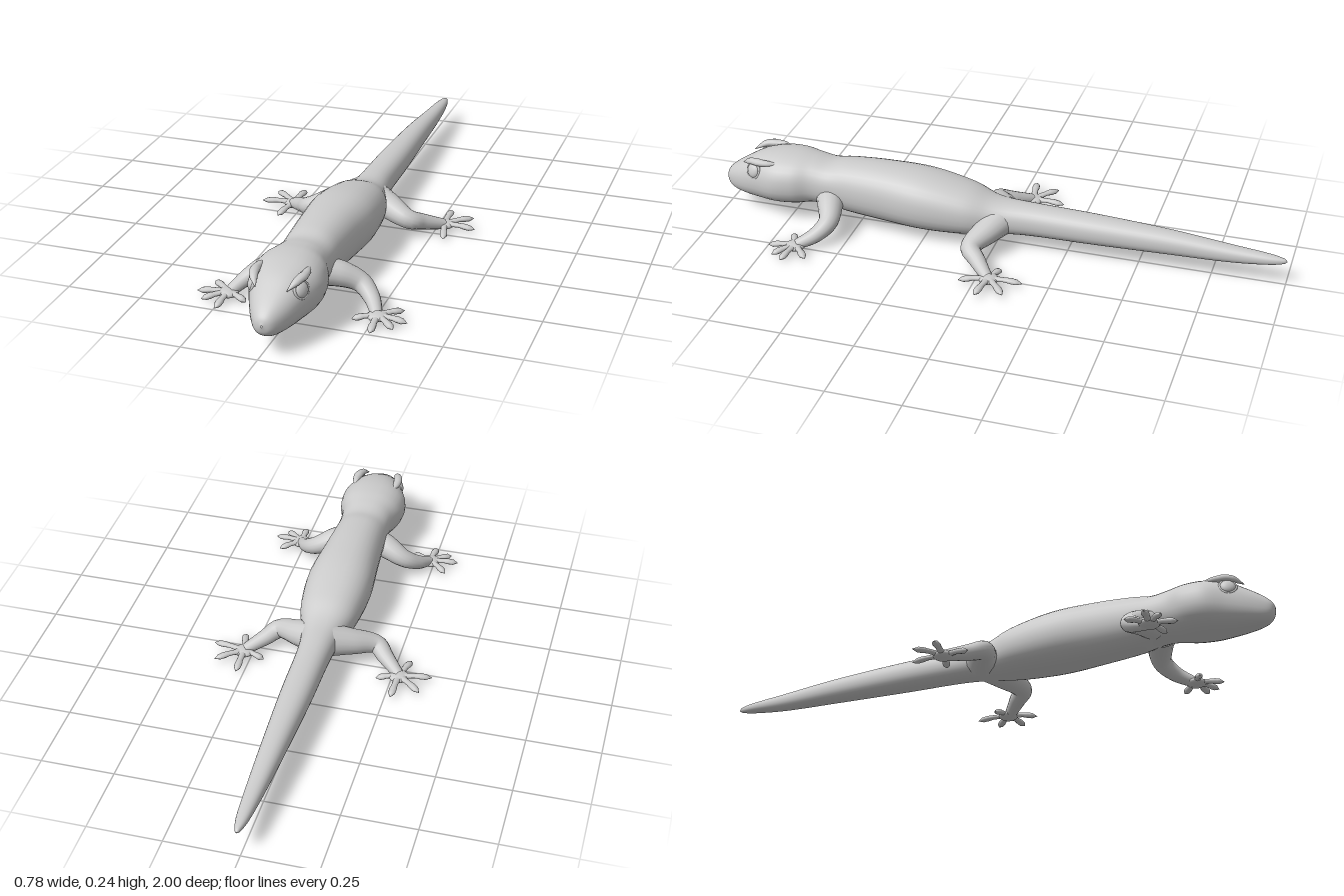
import * as THREE from 'three';
import { mergeVertices } from 'three/addons/utils/BufferGeometryUtils.js';

const grey = new THREE.MeshStandardMaterial({ color: 0xcccccc, side: THREE.DoubleSide });
const V = (p) => new THREE.Vector3(...p);

function smooth(geo) {
  geo.deleteAttribute('uv');
  geo.deleteAttribute('normal');
  const g = mergeVertices(geo, 1e-5);
  g.computeVertexNormals();
  return g;
}

function part(name, geo) {
  const m = new THREE.Mesh(geo, grey);
  m.name = name;
  return m;
}

// Tube along points with a radius at each evenly spaced step, flattened in y.
function taperedTube(points, radii, flat = 1, segs = 20, sides = 12) {
  const curve = new THREE.CatmullRomCurve3(points.map(V));
  const geo = new THREE.TubeGeometry(curve, segs, 1, sides, false);
  const pos = geo.attributes.position;
  const v = new THREE.Vector3();
  for (let i = 0; i <= segs; i++) {
    const c = curve.getPointAt(i / segs);
    const f = (i / segs) * (radii.length - 1);
    const k = Math.min(Math.floor(f), radii.length - 2);
    const r = THREE.MathUtils.lerp(radii[k], radii[k + 1], f - k);
    for (let j = 0; j <= sides; j++) {
      const n = i * (sides + 1) + j;
      v.fromBufferAttribute(pos, n).sub(c).multiplyScalar(r);
      v.y *= flat;
      v.add(c);
      pos.setXYZ(n, v.x, v.y, v.z);
    }
  }
  return smooth(geo);
}

// Head, trunk and tail as one loft: [z, half width, top, bottom, centre x]
const STATIONS = [
  [1.0, 0.002, 0.122, 0.115, 0.015],
  [0.99, 0.026, 0.144, 0.088, 0.015],
  [0.965, 0.046, 0.167, 0.07, 0.015],
  [0.92, 0.07, 0.196, 0.062, 0.015],
  [0.86, 0.094, 0.228, 0.058, 0.014],
  [0.79, 0.118, 0.243, 0.058, 0.012],
  [0.72, 0.115, 0.245, 0.062, 0.011],
  [0.66, 0.096, 0.238, 0.07, 0.01],
  [0.6, 0.092, 0.23, 0.068, 0.01],
  [0.53, 0.094, 0.24, 0.052, 0.01],
  [0.4, 0.104, 0.245, 0.041, 0.011],
  [0.25, 0.116, 0.238, 0.034, 0.012],
  [0.1, 0.102, 0.208, 0.038, 0.011],
  [0.0, 0.073, 0.173, 0.048, 0.009],
  [-0.12, 0.058, 0.165, 0.055, 0.006],
  [-0.35, 0.053, 0.158, 0.058, 0.006],
  [-0.6, 0.042, 0.145, 0.063, 0.007],
  [-0.8, 0.031, 0.127, 0.068, 0.009],
  [-0.93, 0.021, 0.116, 0.079, 0.01],
  [-0.985, 0.01, 0.108, 0.088, 0.01],
  [-1.0, 0.001, 0.099, 0.096, 0.01],
];

function bodyGeometry() {
  const a = new THREE.CatmullRomCurve3(STATIONS.map((s) => V([s[0], s[1], s[4]])), false, 'catmullrom');
  const b = new THREE.CatmullRomCurve3(STATIONS.map((s) => V([s[2], s[3], 0])), false, 'catmullrom');
  const rings = 120, sides = 32, pos = [], idx = [];
  for (let i = 0; i <= rings; i++) {
    const p = a.getPoint(i / rings), q = b.getPoint(i / rings);
    const mid = (q.x + q.y) / 2, half = (q.x - q.y) / 2;
    for (let j = 0; j < sides; j++) {
      // slightly squared ellipse
      const t = (j / sides) * Math.PI * 2, c = Math.cos(t), s = Math.sin(t);
      const x = Math.sign(c) * Math.abs(c) ** 0.88, y = Math.sign(s) * Math.abs(s) ** 0.88;
      pos.push(p.z + p.y * x, mid + half * y, p.x);
      if (i < rings) {
        const n = i * sides + j, m = i * sides + ((j + 1) % sides);
        idx.push(n, n + sides, m, m, n + sides, m + sides);
      }
    }
  }
  const g = new THREE.BufferGeometry();
  g.setAttribute('position', new THREE.Float32BufferAttribute(pos, 3));
  g.setIndex(idx);
  g.computeVertexNormals();
  return g;
}

// Leg paths on the left side, palm centre and toe tips [x, y, z]
const LEGS = {
  front: {
    x: 0.012,
    path: [[0.04, 0.115, 0.6], [0.1, 0.105, 0.575], [0.165, 0.077, 0.56], [0.21, 0.047, 0.59], [0.245, 0.02, 0.645]],
    radii: [0.05, 0.044, 0.034, 0.027, 0.019],
    palm: [0.249, 0.018, 0.65],
    toes: [[0.318, 0.016, 0.588], [0.35, 0.016, 0.665], [0.318, 0.012, 0.71], [0.255, 0.008, 0.747], [0.176, 0.012, 0.685]],
  },
  hind: {
    x: 0,
    path: [[0.02, 0.105, -0.02], [0.09, 0.09, 0.01], [0.175, 0.066, 0.045], [0.215, 0.047, 0.01], [0.275, 0.022, -0.045]],
    radii: [0.06, 0.048, 0.036, 0.028, 0.019],
    palm: [0.276, 0.02, -0.05],
    toes: [[0.272, 0.018, -0.165], [0.362, 0.022, -0.122], [0.388, 0.022, -0.033], [0.3, 0.012, 0.05], [0.2, 0.012, -0.07]],
  },
};

function makeLeg(name, spec, side) {
  const leg = new THREE.Group();
  leg.name = name;
  const flip = ([x, y, z]) => [spec.x + side * x, y, z];
  leg.add(part('limb', taperedTube(spec.path.map(flip), spec.radii, 0.95, 28, 16)));
  const palm = part('palm', new THREE.SphereGeometry(1, 20, 12));
  palm.scale.set(0.034, 0.014, 0.034);
  palm.position.set(...flip(spec.palm));
  leg.add(palm);
  // toes are slim at the base, padded near the tip
  for (const tip of spec.toes) {
    const mid = tip.map((t, i) => (t + spec.palm[i]) / 2 + (i === 1 ? 0.005 : 0));
    const pts = [spec.palm, mid, tip].map(flip);
    leg.add(part('toe', taperedTube(pts, [0.015, 0.013, 0.011, 0.0105, 0.013, 0.012, 0.001], 0.72, 18, 10)));
  }
  return leg;
}

export function createModel() {
  const gecko = new THREE.Group();
  gecko.name = 'gecko';
  gecko.add(part('body', bodyGeometry()));
  for (const side of [1, -1]) {
    const word = side > 0 ? 'left' : 'right';
    for (const [kind, spec] of Object.entries(LEGS)) gecko.add(makeLeg(`${word} ${kind} leg`, spec, side));

    // eyeball with a raised lid around it
    const eye = new THREE.Group();
    eye.name = `${word} eye`;
    const ball = part('eyeball', new THREE.SphereGeometry(0.026, 20, 14));
    ball.scale.z = 0.55;
    const lid = part('eyelid', new THREE.TorusGeometry(0.027, 0.005, 8, 28));
    eye.add(ball, lid);
    eye.position.set(0.014 + side * 0.078, 0.188, 0.866);
    eye.rotation.set(-0.3, side * 1.15, 0, 'YXZ');
    gecko.add(eye);

    // brow ridge above the eye
    const brow = [[0.05, 0.2, 0.915], [0.07, 0.22, 0.875], [0.078, 0.222, 0.83], [0.07, 0.222, 0.77]];
    gecko.add(part(`${word} brow`, taperedTube(
      brow.map(([x, y, z]) => [0.014 + side * x, y, z]), [0.001, 0.013, 0.016, 0.012, 0.001], 0.8)));
  }
  return gecko;
}
